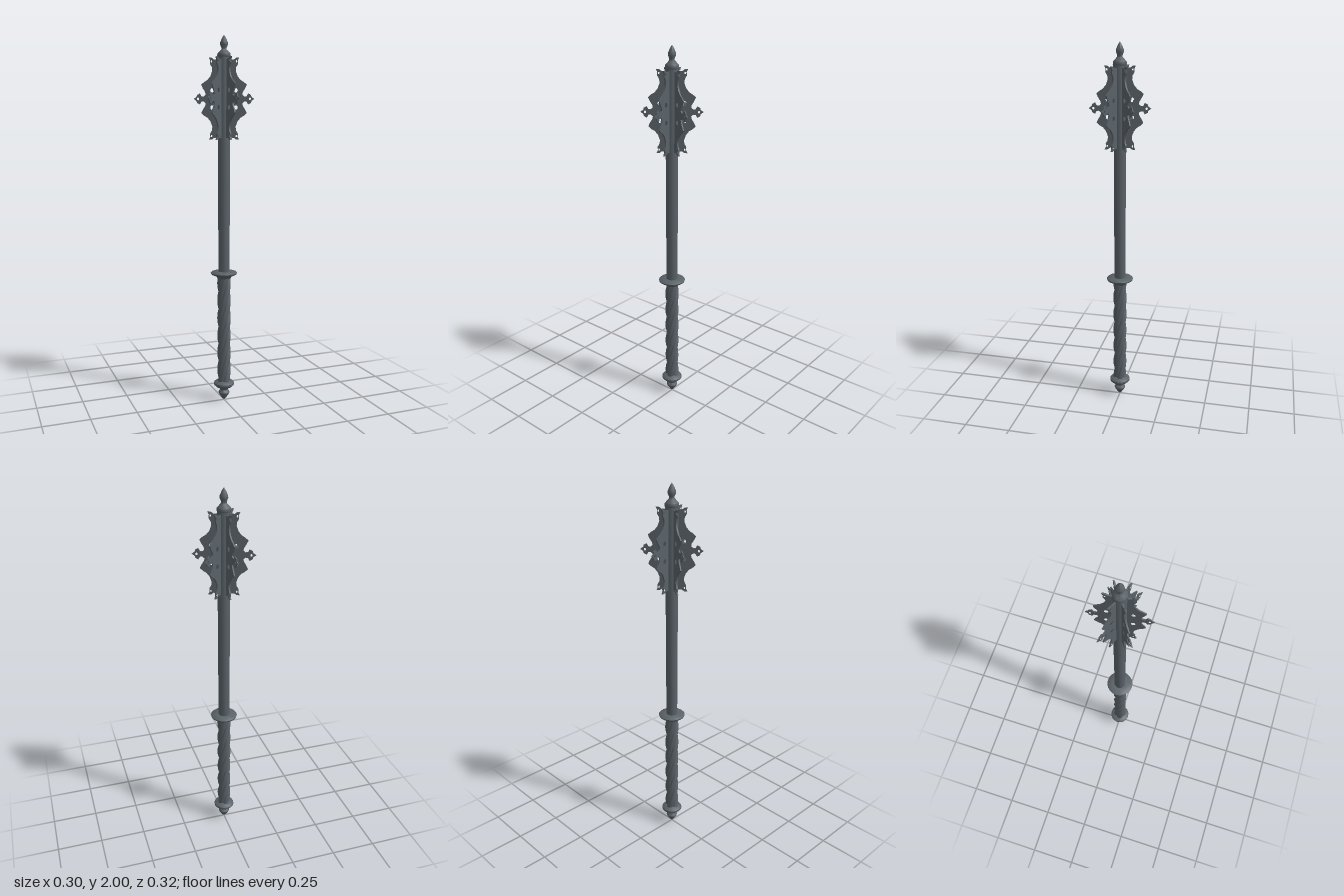
import * as THREE from 'three';
import { mergeVertices, toCreasedNormals } from 'three/addons/utils/BufferGeometryUtils.js';

const steel = new THREE.MeshStandardMaterial({ color: 0x5a6268 });
steel.name = 'dark steel';

function part(name, geometry, parent) {
  const mesh = new THREE.Mesh(geometry, steel);
  mesh.name = name;
  parent.add(mesh);
  return mesh;
}

// Turned part from [radius, height] pairs listed bottom to top
function turned(profile, sides) {
  const points = profile.map(([r, y]) => new THREE.Vector2(r, y));
  return toCreasedNormals(new THREE.LatheGeometry(points, sides), 0.75);
}

// One helical strand of the twisted grip
class Strand extends THREE.Curve {
  constructor(phase) {
    super();
    this.phase = phase;
  }
  getPoint(t, target = new THREE.Vector3()) {
    const a = this.phase + t * Math.PI * 2 * 1.55;
    return target.set(Math.sin(a) * 0.021, 0.1 + t * 0.615, Math.cos(a) * 0.021);
  }
}

// Pierced blade: x runs outward from the shaft, y along it
function flangeGeometry() {
  // Upper half of the outline, from the top horn down to the middle point
  const half = [
    [0.026, 0.205], [0.052, 0.204], [0.064, 0.213], [0.08, 0.214],
    [0.073, 0.2], [0.074, 0.182], [0.064, 0.165], [0.062, 0.145],
    [0.072, 0.118], [0.088, 0.098], [0.105, 0.088], [0.121, 0.074],
    [0.112, 0.055], [0.1, 0.036], [0.097, 0.022], [0.108, 0.013],
    [0.12, 0.014], [0.128, 0.029], [0.143, 0.021], [0.146, 0.01], [0.161, 0],
  ];
  const outline = [...half, ...half.slice(0, -1).reverse().map(([x, y]) => [x, -y])];
  const shape = new THREE.Shape(outline.map(([x, y]) => new THREE.Vector2(x, y)));
  const hole = (x, y, rx, ry) => {
    const path = new THREE.Path();
    path.absellipse(x, y, rx, ry, 0, Math.PI * 2, true);
    shape.holes.push(path);
  };
  hole(0.137, 0, 0.006, 0.007);
  for (const s of [1, -1]) {
    hole(0.062, s * 0.045, 0.011, 0.012);
    hole(0.066, s * 0.195, 0.004, 0.006);
  }
  const geometry = new THREE.ExtrudeGeometry(shape, { depth: 1, bevelEnabled: false, curveSegments: 5 });
  // Thin the blade toward its outer edge
  const p = geometry.attributes.position;
  for (let i = 0; i < p.count; i++) {
    const thickness = 0.009 - 0.03 * Math.max(0, p.getX(i) - 0.026);
    p.setZ(i, (p.getZ(i) - 0.5) * thickness);
  }
  return toCreasedNormals(geometry, 0.5);
}

export function createModel() {
  const model = new THREE.Group();
  model.name = 'flangedMace';

  // Pommel with its collar and lower point
  part('pommel', turned([
    [0, 0], [0.012, 0.012], [0.029, 0.038], [0.031, 0.046], [0.022, 0.06],
    [0.024, 0.068], [0.045, 0.08], [0.057, 0.092], [0.057, 0.102], [0.045, 0.112], [0, 0.117],
  ], 16), model);

  // Twisted grip
  const grip = new THREE.Group();
  grip.name = 'grip';
  model.add(grip);
  for (let i = 0; i < 4; i++) {
    part('gripStrand', new THREE.TubeGeometry(new Strand(i * Math.PI / 2), 64, 0.0165, 10), grip);
  }

  // Hand guard
  part('guard', turned([
    [0, 0.698], [0.036, 0.698], [0.042, 0.71], [0.07, 0.722], [0.073, 0.73],
    [0.068, 0.735], [0.036, 0.738], [0, 0.738],
  ], 20), model);

  // Shaft running through the head
  part('shaft', turned([
    [0.031, 0.73], [0.033, 1.44], [0.033, 1.885], [0, 1.885],
  ], 12), model);

  // Top finial
  part('finial', turned([
    [0, 1.876], [0.03, 1.878], [0.036, 1.89], [0.035, 1.904], [0.024, 1.915],
    [0.014, 1.926], [0.014, 1.934], [0.021, 1.95], [0.02, 1.962], [0.01, 1.985], [0, 2],
  ], 10), model);

  // Six flanges around the head
  const head = new THREE.Group();
  head.name = 'head';
  head.position.y = 1.669;
  model.add(head);
  const flange = mergeVertices(flangeGeometry());
  for (let i = 0; i < 6; i++) {
    part('flange', flange, head).rotation.y = -THREE.MathUtils.degToRad(22 + i * 60);
  }

  return model;
}
